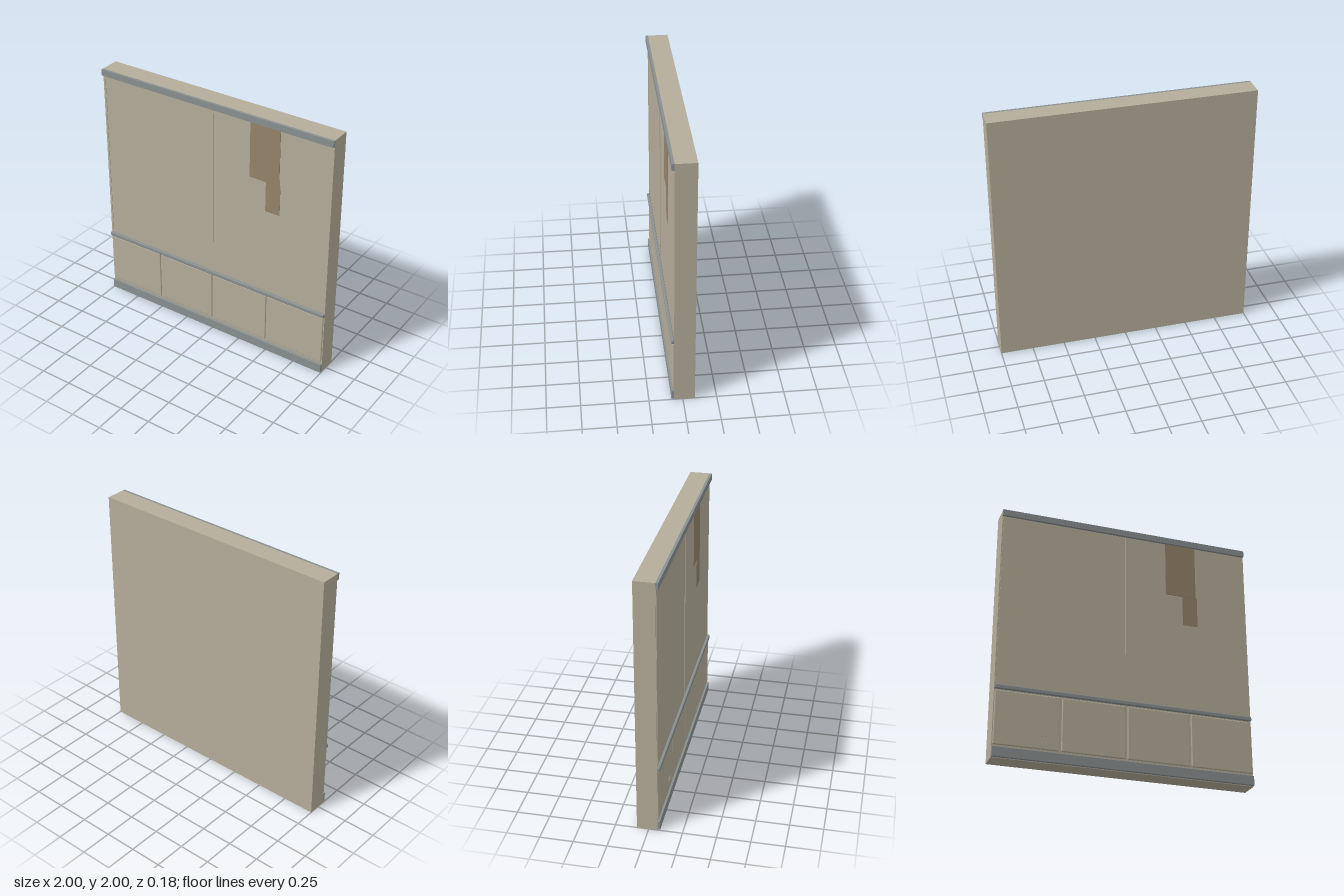
import * as THREE from 'three';
import { RoundedBoxGeometry } from 'three/addons/geometries/RoundedBoxGeometry.js';

const FRONT = 0.066; // front plane of the wall
const BACK = -0.088;

export function createModel() {
  const group = new THREE.Group();
  const mat = (name, color) => {
    const m = new THREE.MeshStandardMaterial({ color });
    m.name = name;
    return m;
  };
  const plaster = mat('beige plaster', 0xb5ad9a);
  const trim = mat('grey trim', 0x8a9090);
  const stain = mat('brown stain', 0x94846a);

  // Box given by its extents; a radius above zero rounds the edges
  const block = (name, material, [x0, x1], [y0, y1], [z0, z1], radius = 0) => {
    const size = [x1 - x0, y1 - y0, z1 - z0];
    const geometry = radius
      ? new RoundedBoxGeometry(...size, 2, radius)
      : new THREE.BoxGeometry(...size);
    const mesh = new THREE.Mesh(geometry, material);
    mesh.name = name;
    mesh.position.set((x0 + x1) / 2, (y0 + y1) / 2, (z0 + z1) / 2);
    group.add(mesh);
    return mesh;
  };

  block('wall', plaster, [-1, 1], [0, 2], [BACK, FRONT]);

  // Horizontal trims
  block('skirtingBoard', trim, [-1, 1], [0.004, 0.08], [FRONT - 0.002, 0.085], 0.004);
  block('chairRail', trim, [-1, 1], [0.517, 0.551], [FRONT - 0.002, 0.088], 0.008);
  block('crownTrim', trim, [-1, 1], [1.95, 2], [FRONT, 0.085]);

  // Row of four raised wainscot panels with softened edges
  for (let i = 0; i < 4; i++) {
    const x = -0.75 + i * 0.5;
    block('wainscotPanel', plaster, [x - 0.243, x + 0.243], [0.098, 0.51], [FRONT - 0.012, 0.075], 0.008);
  }
  block('panelScratch', plaster, [-0.66, -0.59], [0.195, 0.201], [0.074, 0.078]);

  // Narrow vertical wallpaper seams
  for (const x of [-0.985, 0]) {
    block('wallpaperSeam', plaster, [x - 0.006, x + 0.006], [0.551, 1.95], [FRONT, FRONT + 0.004]);
  }

  // Water stain running down from the crown
  block('upperStain', stain, [0.325, 0.575], [1.5, 1.95], [FRONT, FRONT + 0.004]);
  block('lowerStain', stain, [0.463, 0.585], [1.255, 1.503], [FRONT, FRONT + 0.002]);

  return group;
}
